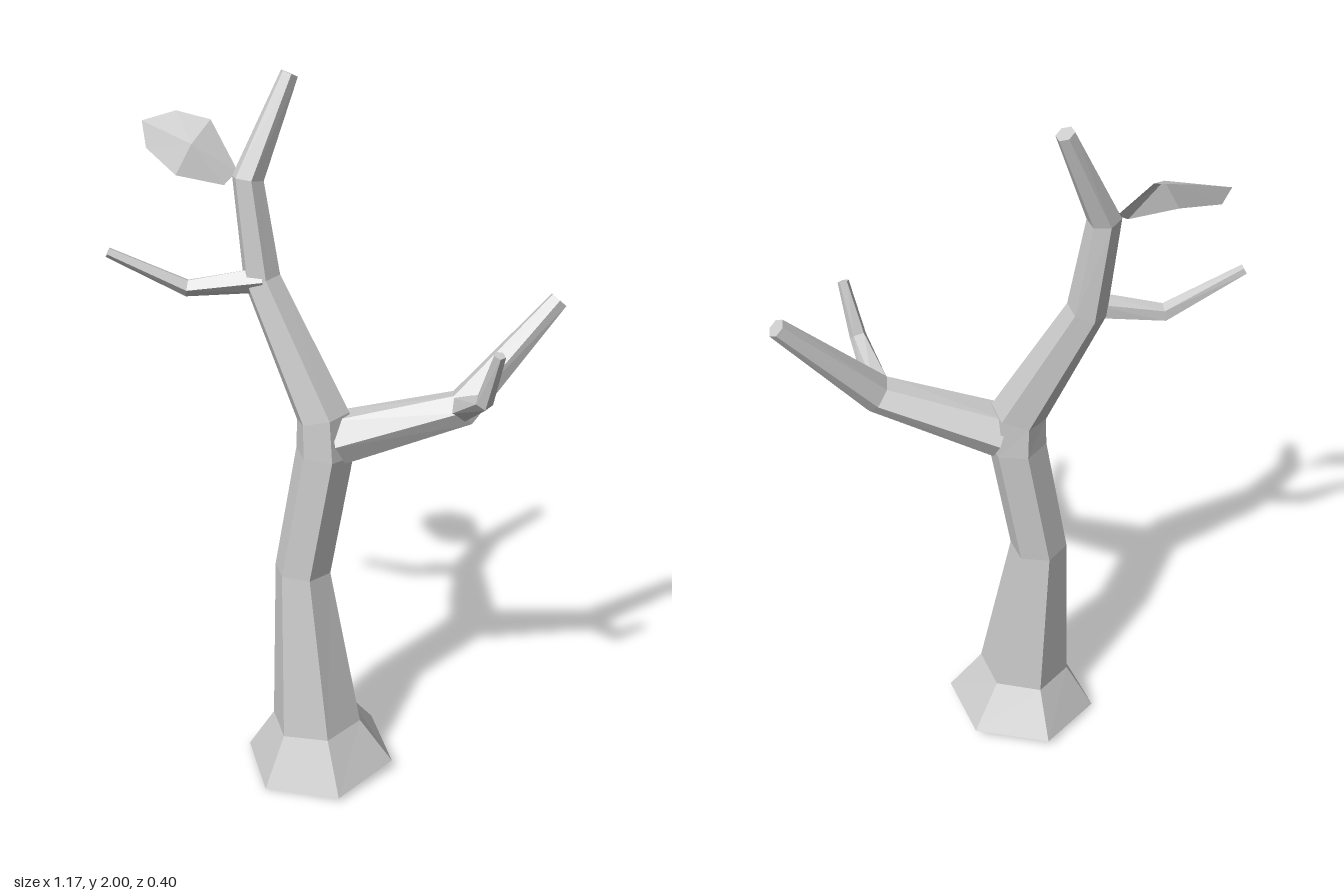
import * as THREE from 'three';

const material = new THREE.MeshStandardMaterial({
  color: 0xcccccc, flatShading: true, side: THREE.DoubleSide,
});

function flatMesh(name, positions) {
  const geometry = new THREE.BufferGeometry();
  geometry.setAttribute('position', new THREE.Float32BufferAttribute(positions, 3));
  geometry.computeVertexNormals();
  const mesh = new THREE.Mesh(geometry, material);
  mesh.name = name;
  return mesh;
}

// Tapered limb: rings of `sides` corners along path points [x, y, z, radius].
// The first corner of every ring points towards `ref`; the tip is capped.
function limb(name, path, sides, ref) {
  const centres = path.map(([x, y, z]) => new THREE.Vector3(x, y, z));
  const last = centres.length - 1;
  const rings = centres.map((c, i) => {
    const into = c.clone().sub(centres[Math.max(i - 1, 0)]).normalize();
    const out = centres[Math.min(i + 1, last)].clone().sub(c).normalize();
    const t = into.add(out).normalize();
    const u = ref.clone().addScaledVector(t, -ref.dot(t)).normalize();
    const v = t.clone().cross(u);
    return Array.from({ length: sides }, (_, k) => {
      const a = (k / sides) * Math.PI * 2;
      return c.clone()
        .addScaledVector(u, Math.cos(a) * path[i][3])
        .addScaledVector(v, Math.sin(a) * path[i][3]);
    });
  });
  const positions = [];
  const tri = (...corners) => corners.forEach((p) => positions.push(p.x, p.y, p.z));
  for (let k = 0; k < sides; k++) {
    const n = (k + 1) % sides;
    for (let i = 0; i < last; i++) {
      const [a, b] = [rings[i], rings[i + 1]];
      tri(a[k], a[n], b[n]);
      tri(a[k], b[n], b[k]);
    }
    tri(rings[last][k], rings[last][n], centres[last]);
  }
  return flatMesh(name, positions);
}

// Folded leaf: a fan of facets from a raised centre to the outline.
function leaf(name, centre, outline) {
  const positions = [];
  outline.forEach((p, i) => {
    positions.push(...centre, ...outline[(i + 1) % outline.length], ...p);
  });
  return flatMesh(name, positions);
}

export function createModel() {
  const tree = new THREE.Group();
  tree.name = 'bareTree';
  const X = new THREE.Vector3(1, 0, 0);
  const Z = new THREE.Vector3(0, 0, 1);

  // Flared, open-bottomed trunk running on into the tall limb
  tree.add(limb('trunk', [
    [-0.033, 0.016, 0.012, 0.219],
    [-0.04, 0.15, 0.022, 0.131],
    [-0.081, 0.635, 0.012, 0.08],
    [-0.02, 1.0, 0, 0.08],
    [-0.025, 1.105, -0.002, 0.075],
    [-0.2, 1.465, -0.035, 0.052],
    [-0.235, 1.73, -0.042, 0.043],
    [-0.145, 1.987, -0.122, 0.024],
  ], 6, X));

  // Heavy side branch with a flat upper face
  tree.add(limb('sideBranch', [
    [0.02, 1.043, -0.01, 0.074],
    [0.345, 1.155, -0.045, 0.052],
    [0.563, 1.43, -0.178, 0.027],
  ], 6, Z));

  // Thin twigs
  tree.add(limb('sideTwig', [
    [0.35, 1.165, -0.02, 0.036],
    [0.425, 1.24, 0.095, 0.024],
    [0.465, 1.385, 0.13, 0.016],
  ], 5, X));
  tree.add(limb('upperTwig', [
    [-0.19, 1.47, -0.02, 0.036],
    [-0.39, 1.44, 0.018, 0.024],
    [-0.58, 1.542, 0.085, 0.014],
  ], 5, Z));

  // Single leaf
  tree.add(leaf('leaf', [-0.37, 1.82, 0.0], [
    [-0.265, 1.745, -0.05],
    [-0.35, 1.862, -0.095],
    [-0.45, 1.875, -0.11],
    [-0.53, 1.853, -0.07],
    [-0.51, 1.79, -0.04],
    [-0.41, 1.74, 0.015],
    [-0.29, 1.716, -0.012],
  ]));
  return tree;
}
